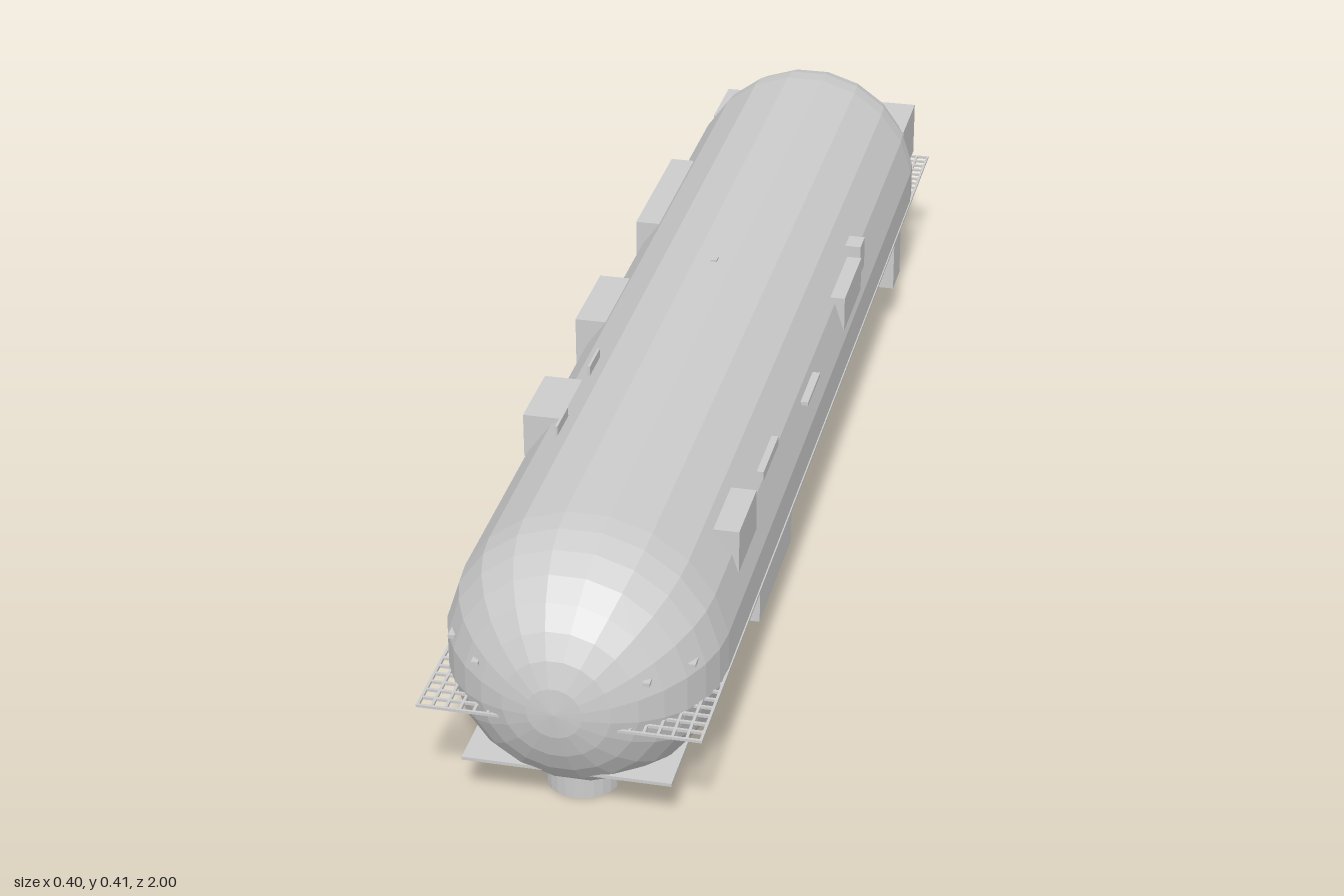
import * as THREE from 'three';
import { mergeGeometries } from 'three/addons/utils/BufferGeometryUtils.js';

export function createModel() {
  const model = new THREE.Group();
  const material = new THREE.MeshStandardMaterial({ color: 0xcccccc, flatShading: true });
  const add = (name, geometry) => {
    const mesh = new THREE.Mesh(geometry, material);
    mesh.name = name;
    model.add(mesh);
    return mesh;
  };
  // Box given by its extents on each axis
  const span = (x0, x1, y0, y1, z0, z1) =>
    new THREE.BoxGeometry(x1 - x0, y1 - y0, z1 - z0)
      .translate((x0 + x1) / 2, (y0 + y1) / 2, (z0 + z1) / 2);

  // Hull: 20-sided capsule lying along z
  const R = 0.2015, AXIS = 0.206, BACK = -0.78, FRONT = 0.795, RINGS = 8;
  const profile = [];
  for (const [z, start] of [[BACK, -RINGS], [FRONT, 0]]) {
    for (let i = 0; i <= RINGS; i++) {
      const a = ((start + i) / RINGS) * Math.PI / 2;
      profile.push(new THREE.Vector2(Math.max(0, R * Math.cos(a)), z + R * Math.sin(a)));
    }
  }
  add('hull', new THREE.LatheGeometry(profile, 20, Math.PI / 20).rotateX(Math.PI / 2).translate(0, AXIS, 0));

  // Grated deck running through the hull, visible at the four corners
  const bars = [];
  const W = 0.201, Z0 = -0.988, Z1 = 0.975, T = 0.002;
  for (let i = 0; i <= 20; i++) {
    const x = -W + T + (i / 20) * 2 * (W - T);
    bars.push(span(x - T, x + T, 0.176, 0.18, Z0, Z1));
  }
  for (let i = 0; i <= 98; i++) {
    const z = Z0 + T + (i / 98) * (Z1 - Z0 - 2 * T);
    bars.push(span(-W, W, 0.176, 0.18, z - T, z + T));
  }
  add('gratedDeck', mergeGeometries(bars));

  // Solid lower deck
  add('lowerDeck', span(-0.15, 0.15, 0.072, 0.077, -0.94, 0.94));

  // Round hatch collar under the nose
  add('bellyCollar', new THREE.CylinderGeometry(0.053, 0.053, 0.06, 24).translate(0, 0.03, 0.845));

  // Housings that break through the hull sides
  const housings = {
    leftFrontHousing: [0.12, 0.19, 0.27, 0.335, 0.565, 0.685],
    leftFrontSill: [0.12, 0.181, 0.295, 0.31, 0.36, 0.47],
    leftMiddleSill: [0.12, 0.196, 0.278, 0.284, 0.1, 0.2],
    leftRearHousing: [0.13, 0.196, 0.25, 0.308, -0.27, -0.115],
    leftRearPost: [0.13, 0.191, 0.265, 0.318, -0.33, -0.29],
    leftLowerLocker: [0.1, 0.19, 0.092, 0.145, 0.295, 0.535],
    leftLowerPost: [0.1, 0.196, 0.075, 0.16, -0.7, -0.63],
    rightRearHousing: [-0.19, -0.1, 0.27, 0.338, -0.53, -0.265],
    rightMiddleHousing: [-0.198, -0.1, 0.255, 0.34, -0.05, 0.11],
    rightFrontHousing: [-0.185, -0.08, 0.29, 0.36, 0.34, 0.465],
    topStud: [-0.005, 0.005, 0.39, 0.408, -0.025, -0.01],
  };
  for (const [name, extents] of Object.entries(housings)) add(name, span(...extents));

  // Thin plates either side of the right front housing
  for (const z of [0.28, 0.47]) add('thinPlate', span(-0.118, -0.114, 0.355, 0.384, z, z + 0.06));

  // Pegs below the right side
  for (const z of [0.14, 0.18]) add('lowerPeg', span(-0.178, -0.169, 0.073, 0.14, z, z + 0.012));

  // Small studs on the nose, mirrored
  for (const side of [-1, 1]) {
    for (const [x, z] of [[0.12, 0.948], [0.17, 0.89]]) {
      add('noseStud', new THREE.BoxGeometry(0.01, 0.006, 0.02).translate(side * x, 0.247, z));
    }
    // Rear side pods
    const [a, b] = side > 0 ? [0.115, 0.176] : [-0.18, -0.12];
    add('rearSidePod', span(a, b, 0.2, 0.295, -0.96, -0.83));
  }

  // Rear centre pod with a sloped back face
  const pod = new THREE.Shape([[-0.88, 0.205], [-0.88, 0.295], [-0.975, 0.295], [-1, 0.28], [-0.995, 0.215], [-0.98, 0.205]]
    .map(([z, y]) => new THREE.Vector2(z, y)));
  add('rearCentrePod', new THREE.ExtrudeGeometry(pod, { depth: 0.17, bevelEnabled: false })
    .translate(0, 0, -0.085).rotateY(-Math.PI / 2));

  return model;
}
